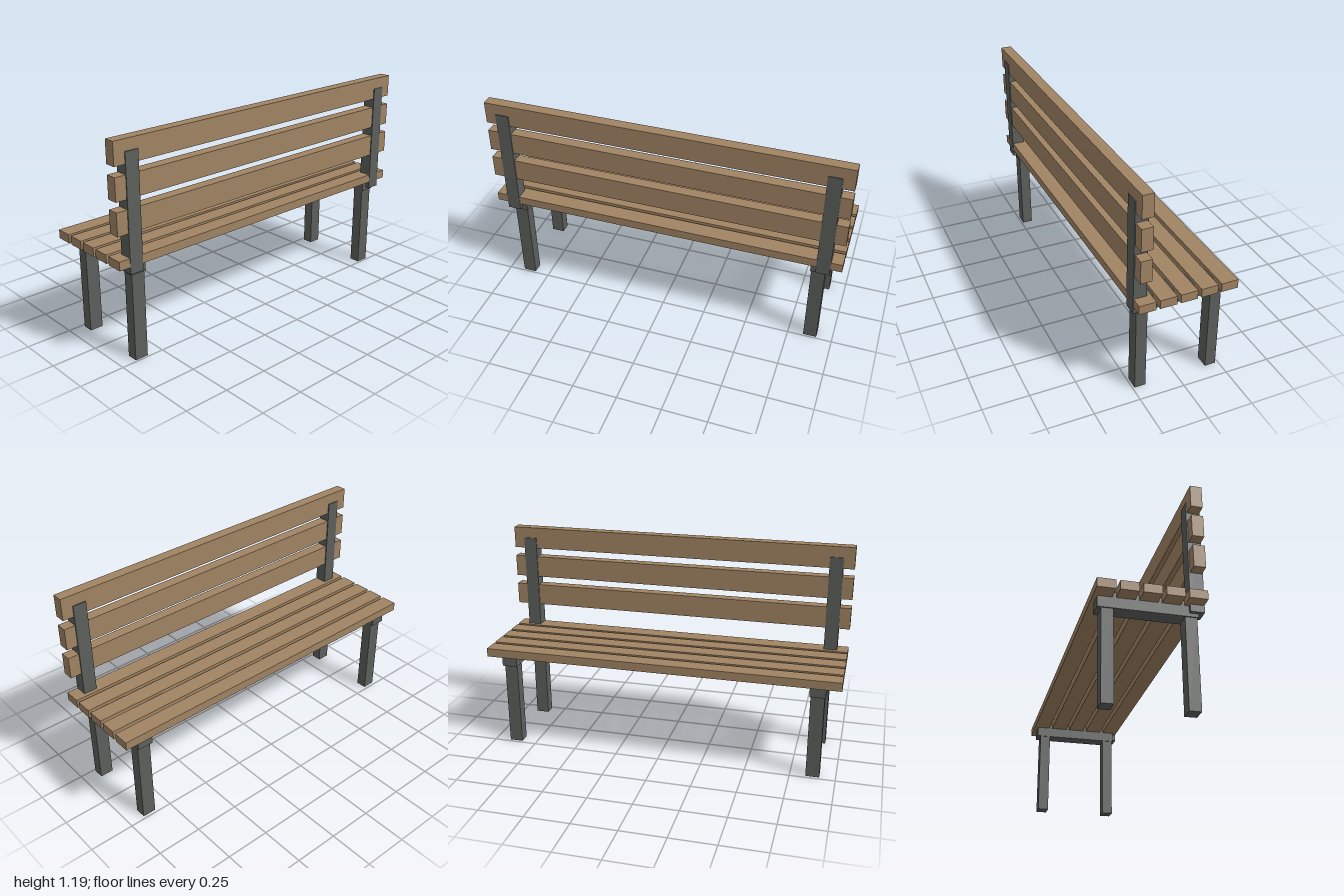
import * as THREE from 'three';

export function createModel() {
  const model = new THREE.Group();
  model.name = 'bench';

  const wood = new THREE.MeshStandardMaterial({ color: 0xa08363 });
  wood.name = 'wood';
  const metal = new THREE.MeshStandardMaterial({ color: 0x5c5f5c });
  metal.name = 'dark metal';

  // Box given by its extents along each axis
  function addBox(name, material, [x0, x1], [y0, y1], [z0, z1]) {
    const mesh = new THREE.Mesh(new THREE.BoxGeometry(x1 - x0, y1 - y0, z1 - z0), material);
    mesh.position.set((x0 + x1) / 2, (y0 + y1) / 2, (z0 + z1) / 2);
    mesh.name = name;
    model.add(mesh);
  }

  // Seat: five planks side by side
  for (let i = 0; i < 5; i++) {
    const x = -0.272 + i * 0.112;
    addBox('seatSlat', wood, [x, x + 0.092], [0.54, 0.588], [-1, 1]);
  }

  // Backrest: three upright planks
  for (let i = 0; i < 3; i++) {
    const y = 0.716 + i * 0.1745;
    addBox('backSlat', wood, [0.204, 0.265], [y, y + 0.123], [-1, 1]);
  }

  // Frame at each end, mirrored along the length
  for (const side of [-1, 1]) {
    const span = (near, far) => (side > 0 ? [near, far] : [-far, -near]);
    addBox('seatRail', metal, [-0.252, 0.246], [0.483, 0.568], span(0.832, 0.918));
    addBox('frontLeg', metal, [-0.233, -0.172], [0, 0.49], span(0.837, 0.912));
    addBox('rearLeg', metal, [0.178, 0.239], [0, 0.49], span(0.837, 0.912));
    addBox('backPost', metal, [0.198, 0.27], [0.502, 1.127], span(0.863, 0.938));
  }

  return model;
}
